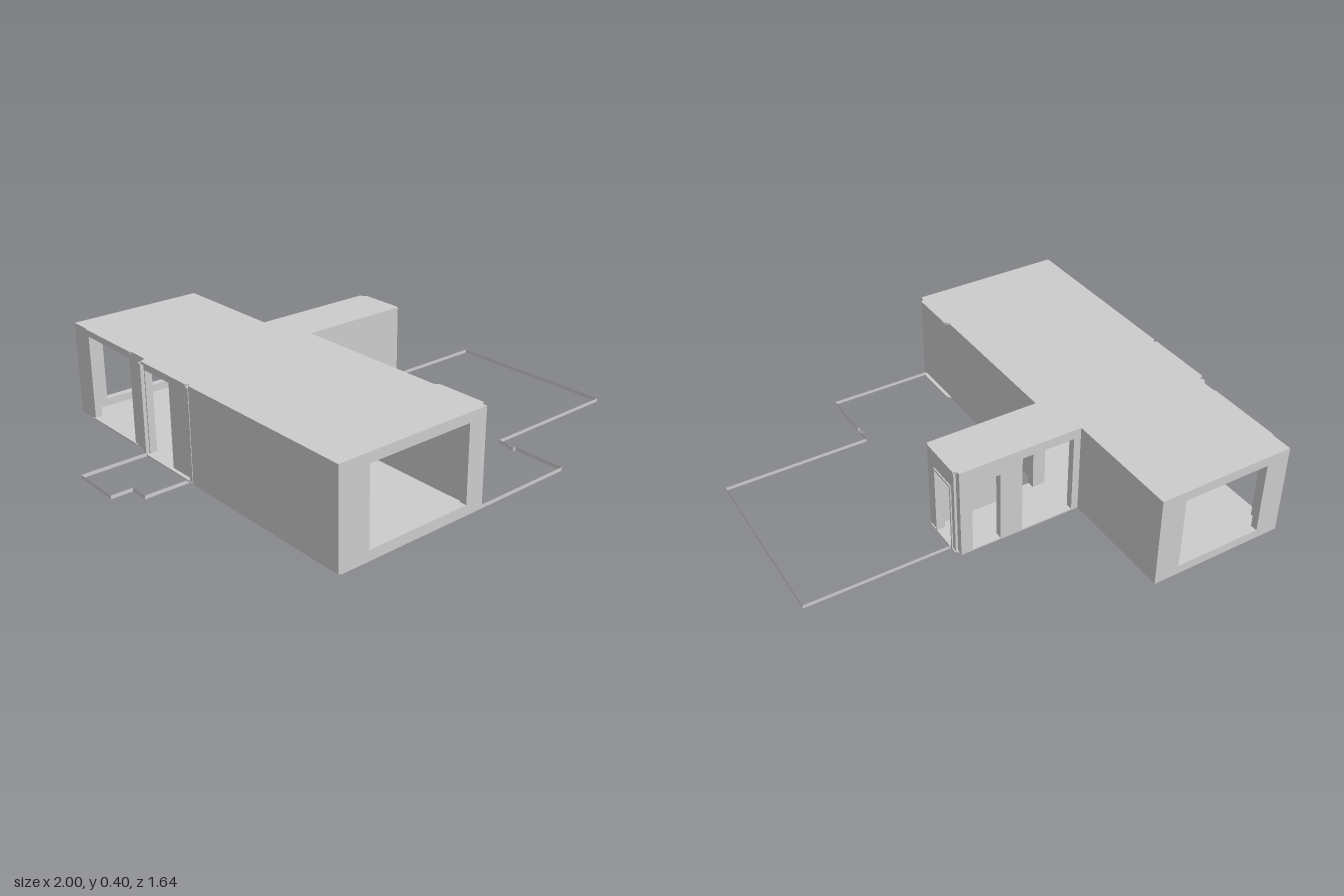
import * as THREE from 'three';

const FLOOR = 0.018, TOP = 0.4, T = 0.03;
const material = new THREE.MeshStandardMaterial({ color: 0xcccccc, flatShading: true });
const thin = new THREE.MeshStandardMaterial({ color: 0xcccccc, flatShading: true, side: THREE.DoubleSide });

export function createModel() {
  const model = new THREE.Group();
  const add = (name, geometry, mat = material) => {
    const mesh = new THREE.Mesh(geometry, mat);
    mesh.name = name;
    model.add(mesh);
    return mesh;
  };

  // Horizontal plate from a plan outline of [x, z] points
  const plate = (name, pts, y, h) => {
    const shape = new THREE.Shape(pts.map(([x, z]) => new THREE.Vector2(x, -z)));
    const g = new THREE.ExtrudeGeometry(shape, { depth: h, bevelEnabled: false });
    add(name, g.rotateX(-Math.PI / 2).translate(0, y, 0));
  };

  // Upright panel from a to b; openings are [a, b, bottom, top], doors cut the lower edge
  const panel = (a, b, openings) => {
    const h = TOP - 0.01;
    const shape = new THREE.Shape();
    shape.moveTo(a, FLOOR);
    for (const [p, q, lo, hi] of openings) {
      if (lo > FLOOR) {
        const hole = new THREE.Path();
        hole.moveTo(p, lo).lineTo(p, hi).lineTo(q, hi).lineTo(q, lo).closePath();
        shape.holes.push(hole);
      } else {
        shape.lineTo(p, FLOOR).lineTo(p, hi).lineTo(q, hi).lineTo(q, FLOOR);
      }
    }
    shape.lineTo(b, FLOOR).lineTo(b, h).lineTo(a, h).closePath();
    return new THREE.ExtrudeGeometry(shape, { depth: T, bevelEnabled: false });
  };
  // Wall along x, its thickness starting at z
  const wallX = (name, x0, x1, z, openings = []) =>
    add(name, panel(x0, x1, openings).translate(0, 0, z));
  // Wall along z, its outer or inner face ending at x
  const wallZ = (name, z0, z1, x, openings = []) =>
    add(name, panel(z0, z1, openings).rotateY(-Math.PI / 2).translate(x, 0, 0));

  // Open vertical strip following [x, z] points at ground level
  const curb = (name, pts) => {
    const pos = [], index = [];
    pts.forEach(([x, z], i) => {
      pos.push(x, 0, z, x, 0.015, z);
      if (i) index.push(2 * i - 2, 2 * i, 2 * i + 1, 2 * i - 2, 2 * i + 1, 2 * i - 1);
    });
    const g = new THREE.BufferGeometry();
    g.setAttribute('position', new THREE.Float32BufferAttribute(pos, 3));
    g.setIndex(index);
    const flat = g.toNonIndexed();
    flat.computeVertexNormals();
    add(name, flat, thin);
  };

  // Floor and roof share the plan, with shallow projections at the openings
  const plan = [
    [-0.73, 0.82], [-0.07, 0.82], [-0.07, 0.80], [-0.055, 0.79], [-0.055, 0.59], [-0.07, 0.57],
    [-0.07, -0.105], [0.4, -0.105], [0.405, -0.12], [0.405, -0.30], [0.39, -0.31], [0.39, -0.325],
    [-0.13, -0.325], [-0.13, -0.82], [-0.705, -0.82], [-0.705, -0.73], [-0.71, -0.72], [-0.71, -0.40],
    [-0.705, -0.39], [-0.705, -0.30], [-0.73, -0.29], [-0.73, 0.0], [-0.715, 0.01], [-0.73, 0.02],
  ];
  plate('floor', plan, 0.012, FLOOR - 0.012);
  plate('roof', plan, TOP - 0.01, 0.01);

  // Main volume
  wallX('frontWall', -0.73, -0.07, 0.82 - T, [[-0.6, -0.15, 0.05, 0.36]]);
  wallX('backWall', -0.705, -0.13, -0.82, [[-0.605, -0.235, 0.05, 0.36]]);
  wallZ('leftFrontWall', -0.105, 0.79, -0.07);
  wallZ('leftBackWall', -0.79, -0.325, -0.13);
  wallZ('rightFrontWall', 0.02, 0.79, -0.73 + T);
  wallZ('rightBackWall', -0.79, -0.31, -0.705 + T, [[-0.715, -0.41, FLOOR, 0.37]]);
  wallZ('rightEntryWall', -0.31, 0.02, -0.715 + T, [[-0.29, -0.13, FLOOR, 0.36]]);

  // Side wing
  wallX('wingFrontWall', -0.1, 0.4, -0.105 - T, [[-0.05, 0.08, FLOOR, 0.32]]);
  wallX('wingBackWall', -0.13, 0.39, -0.325, [[-0.1, 0.125, FLOOR, 0.36], [0.22, 0.34, FLOOR, 0.325]]);
  wallZ('wingEndWall', -0.3, -0.135, 0.4, [[-0.28, -0.155, FLOOR, 0.315]]);

  // Slim door casings
  const bar = (name, w, h, d, x, y, z) =>
    add(name, new THREE.BoxGeometry(w, h, d).translate(x, y, z));
  for (const x of [-0.048, 0.075]) bar('wingFrontDoorJamb', 0.008, 0.3, 0.036, x, 0.168, -0.118);
  bar('wingFrontDoorHead', 0.131, 0.008, 0.036, 0.0135, 0.318, -0.118);
  for (const z of [-0.277, -0.158]) bar('wingEndDoorJamb', 0.036, 0.295, 0.007, 0.387, 0.165, z);
  bar('wingEndDoorHead', 0.036, 0.008, 0.126, 0.387, 0.314, -0.2175);
  for (const z of [-0.303, 0.008]) bar('entryPost', 0.02, TOP - 0.03, 0.016, -0.72, 0.204, z);

  // Plinth strip set slightly inside the walls
  curb('plinth', [
    [-0.71, 0.81], [-0.08, 0.81], [-0.08, -0.115], [0.38, -0.115], [0.38, -0.3],
    [-0.15, -0.3], [-0.15, -0.79], [-0.69, -0.79], [-0.69, -0.29], [-0.71, -0.29], [-0.71, 0.81],
  ]);

  // Terrace and entry porch outlines on the ground
  curb('terraceEdge', [
    [-0.08, 0.81], [0.38, 0.81], [0.38, 0.585], [0.37, 0.58], [0.37, 0.56], [0.38, 0.555],
    [0.38, 0.5], [1, 0.5], [1, -0.26], [0.38, -0.26],
  ]);
  curb('porchEdge', [
    [-0.71, -0.02], [-0.91, -0.02], [-0.91, -0.1], [-1, -0.1], [-1, -0.31], [-0.69, -0.31],
  ]);

  return model;
}
